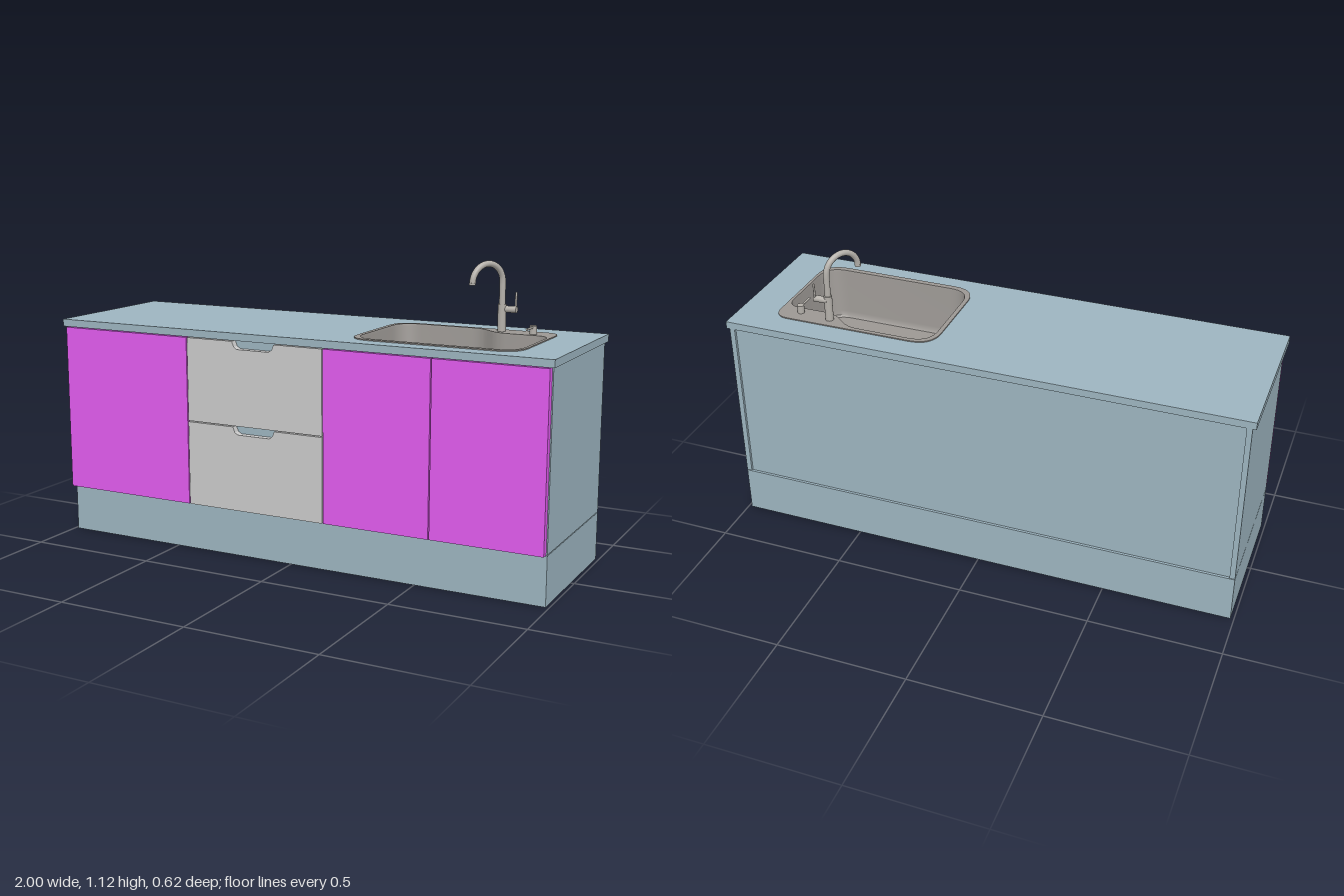
import * as THREE from 'three';
import { toCreasedNormals } from 'three/addons/utils/BufferGeometryUtils.js';

const mat = (color, side = THREE.FrontSide) => new THREE.MeshStandardMaterial({ color, side });

// Closed outline from [x, y, cornerRadius] corners
function roundedShape(corners) {
  const shape = new THREE.Shape();
  corners.forEach(([x, y, r], i) => {
    const n = corners.length;
    const p = new THREE.Vector2(x, y);
    const toward = ([qx, qy]) => new THREE.Vector2(qx, qy).sub(p).setLength(r).add(p);
    const a = toward(corners[(i + n - 1) % n]);
    const b = toward(corners[(i + 1) % n]);
    if (i === 0) shape.moveTo(a.x, a.y); else shape.lineTo(a.x, a.y);
    shape.quadraticCurveTo(x, y, b.x, b.y);
  });
  shape.closePath();
  return shape;
}

// Horizontal slab with its underside at y (shape y runs toward -z)
function slab(shape, y, depth) {
  const geo = new THREE.ExtrudeGeometry(shape, { depth, bevelEnabled: false, curveSegments: 10 });
  return toCreasedNormals(geo.rotateX(-Math.PI / 2).translate(0, y, 0), 0.6);
}

// Bowl wall lofted from an outline through [y, scale] levels
function loftWall(points, cx, cy, levels) {
  const pos = [], index = [], n = points.length;
  for (const [y, s] of levels)
    for (const p of points) pos.push(cx + (p.x - cx) * s, y, -(cy + (p.y - cy) * s));
  for (let l = 0; l < levels.length - 1; l++)
    for (let i = 0; i < n; i++) {
      const a = l * n + i, b = l * n + (i + 1) % n, c = a + n, d = b + n;
      index.push(a, b, c, b, d, c);
    }
  const geo = new THREE.BufferGeometry();
  geo.setAttribute('position', new THREE.Float32BufferAttribute(pos, 3));
  geo.setIndex(index);
  return toCreasedNormals(geo, 0.6);
}

export function createModel() {
  const group = new THREE.Group();
  const blue = mat(0x9db5c0), purple = mat(0xe25cf0), grey = mat(0xcccccc);
  const steel = mat(0x9c9894, THREE.DoubleSide), metal = mat(0xb4b0aa, THREE.DoubleSide);

  const add = (name, geo, material, parent = group) => {
    const mesh = new THREE.Mesh(geo, material);
    mesh.name = name;
    parent.add(mesh);
    return mesh;
  };
  const box = (name, x0, x1, y0, y1, z0, z1, material) =>
    add(name, new THREE.BoxGeometry(x1 - x0, y1 - y0, z1 - z0)
      .translate((x0 + x1) / 2, (y0 + y1) / 2, (z0 + z1) / 2), material);

  // Plinth and hollow carcass
  box('plinth', -0.987, 0.987, 0, 0.182, -0.308, 0.28, blue);
  for (const s of [-1, 1])
    box('sidePanel', Math.min(s * 0.987, s * 0.967), Math.max(s * 0.987, s * 0.967), 0.185, 0.83, -0.308, 0.28, blue);
  box('backPanel', -0.967, 0.967, 0.185, 0.83, -0.298, -0.285, blue);
  box('carcassFront', -0.967, 0.967, 0.185, 0.83, 0.262, 0.279, blue);
  box('carcassFloor', -0.967, 0.967, 0.182, 0.2, -0.298, 0.279, blue);

  // Doors
  for (const [x0, x1] of [[-0.985, -0.427], [0.149, 0.562], [0.566, 0.984]])
    box('door', x0, x1, 0.185, 0.827, 0.283, 0.309, purple);

  // Drawer fronts with a trapezoid grip cut in the top edge
  for (const [y0, y1] of [[0.185, 0.506], [0.51, 0.827]]) {
    const front = new THREE.Shape([
      [-0.423, y0], [0.145, y0], [0.145, y1], [-0.052, y1], [-0.06, y1 - 0.02], [-0.073, y1 - 0.029],
      [-0.207, y1 - 0.029], [-0.22, y1 - 0.02], [-0.228, y1], [-0.423, y1],
    ].map(([x, y]) => new THREE.Vector2(x, y)));
    add('drawerFront', new THREE.ExtrudeGeometry(front, { depth: 0.026, bevelEnabled: false })
      .translate(0, 0, 0.283), grey);
  }

  // Worktop with the sink cut-out
  const top = new THREE.Shape([[-1, -0.309], [1, -0.309], [1, 0.309], [-1, 0.309]]
    .map(([x, y]) => new THREE.Vector2(x, y)));
  top.holes.push(roundedShape([
    [0.216, -0.232, 0.09], [0.844, -0.232, 0.09], [0.844, 0.203, 0.06], [0.216, 0.203, 0.09]]));
  add('worktop', slab(top, 0.83, 0.028), blue);

  // Sink: rim and tap deck, bowl wall, bowl floor
  const sink = new THREE.Group();
  sink.name = 'sink';
  group.add(sink);
  const bowl = roundedShape([
    [0.225, -0.22, 0.085], [0.84, -0.22, 0.085], [0.84, 0.12, 0.05],
    [0.64, 0.12, 0.04], [0.555, 0.193, 0.04], [0.225, 0.193, 0.085]]);
  const rim = roundedShape([
    [0.208, -0.242, 0.095], [0.852, -0.242, 0.095], [0.852, 0.21, 0.06], [0.208, 0.21, 0.095]]);
  rim.holes.push(bowl);
  add('sinkRim', slab(rim, 0.857, 0.005), steel, sink);
  const outline = bowl.getPoints(10).slice(0, -1);
  const cx = 0.53, cy = -0.03;
  add('bowlWall', loftWall(outline, cx, cy,
    [[0.862, 1], [0.852, 0.993], [0.68, 0.975], [0.662, 0.96], [0.655, 0.93]]), steel, sink);
  const floor = new THREE.Shape(outline.map(p =>
    new THREE.Vector2(cx + (p.x - cx) * 0.93, cy + (p.y - cy) * 0.93)));
  add('bowlFloor', new THREE.ShapeGeometry(floor).rotateX(-Math.PI / 2).translate(0, 0.655, 0), steel, sink);

  // Tap: body, swan neck, side valve and lever
  const tap = new THREE.Group();
  tap.name = 'tap';
  tap.position.set(0.64, 0.862, -0.165);
  group.add(tap);
  const cyl = (r, h, n = 20) => new THREE.CylinderGeometry(r, r, h, n);
  add('tapBody', cyl(0.0155, 0.1).translate(0, 0.05, 0), metal, tap);
  const reach = new THREE.Vector3(-0.07, 0, 0.122), neck = [];
  for (const y of [0.09, 0.125, 0.16]) neck.push(new THREE.Vector3(0, y, 0));
  for (let i = 0; i <= 10; i++) {
    const a = Math.PI * i / 10;
    neck.push(reach.clone().multiplyScalar((1 - Math.cos(a)) / 2).setY(0.182 + 0.069 * Math.sin(a)));
  }
  add('swanNeck', new THREE.TubeGeometry(new THREE.CatmullRomCurve3(neck), 48, 0.0115, 14), metal, tap);
  const end = neck[neck.length - 1];
  add('spoutEnd', cyl(0.0118, 0.008).translate(end.x, end.y, end.z), metal, tap);
  const valve = add('valve', cyl(0.0125, 0.055).rotateZ(Math.PI / 2), metal, tap);
  valve.position.set(0.0275, 0.082, -0.004);
  const lever = add('lever', cyl(0.004, 0.066, 10), metal, tap);
  lever.position.set(0.049, 0.112, -0.011);
  lever.rotation.x = -0.06;

  // Small dispenser on the deck
  const dispenser = new THREE.Group();
  dispenser.name = 'dispenser';
  dispenser.position.set(0.766, 0.862, -0.152);
  group.add(dispenser);
  add('dispenserBody', cyl(0.0135, 0.031).translate(0, 0.0155, 0), metal, dispenser);
  add('dispenserSpout', cyl(0.004, 0.07, 10).rotateX(Math.PI / 2).translate(0, 0.025, 0.037), metal, dispenser);

  return group;
}
